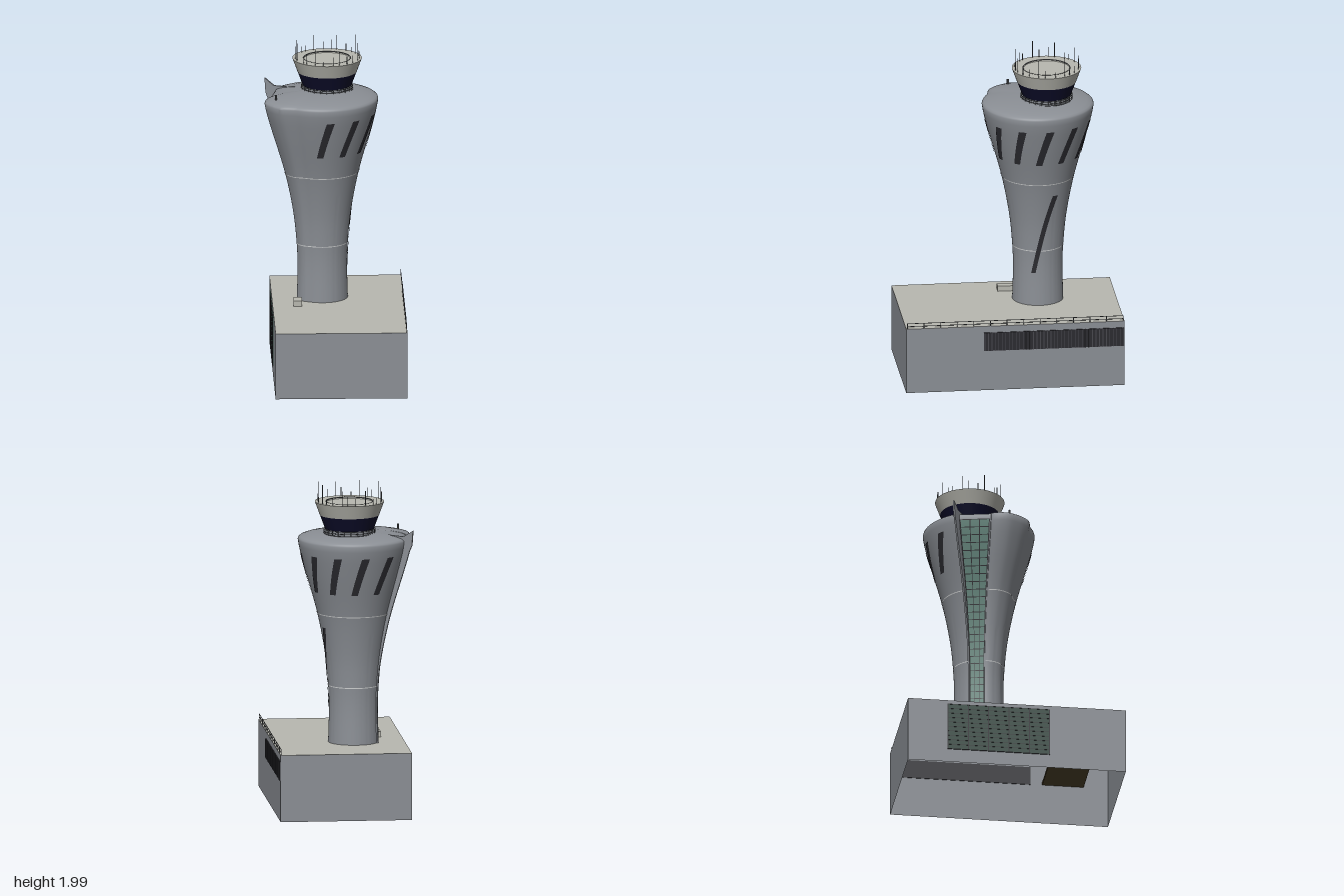
import * as THREE from 'three';
import { toCreasedNormals } from 'three/addons/utils/BufferGeometryUtils.js';

const mat = (name, color, side = THREE.FrontSide) => {
  const m = new THREE.MeshStandardMaterial({ color, side });
  m.name = name;
  return m;
};
const M = {
  concrete: mat('concrete grey', 0x8b8f95, THREE.DoubleSide),
  roof: mat('roof beige', 0xb8b8b0, THREE.DoubleSide),
  dark: mat('dark window', 0x2b2b30, THREE.DoubleSide),
  slat: mat('slat grey', 0x48484e),
  navy: mat('cab glass navy', 0x0c0c2a),
  teal: mat('strip glass teal', 0x66897f, THREE.DoubleSide),
  green: mat('hall glass green', 0x2f473e),
  white: mat('joint white', 0xd4d6d6, THREE.DoubleSide),
  metal: mat('metal', 0x55585c),
  brown: mat('floor brown', 0x50442c),
};

const add = (parent, name, geo, material, x = 0, y = 0, z = 0) => {
  const m = new THREE.Mesh(geo, material);
  m.name = name;
  m.position.set(x, y, z);
  parent.add(m);
  return m;
};
const box = (parent, name, material, w, h, d, x, y, z) =>
  add(parent, name, new THREE.BoxGeometry(w, h, d), material, x, y, z);
const group = (parent, name) => {
  const g = new THREE.Group();
  g.name = name;
  parent.add(g);
  return g;
};
const lerp = THREE.MathUtils.lerp;

// Piecewise linear lookup in a list of [key, value]
function lookup(table, k) {
  if (k <= table[0][0]) return table[0][1];
  for (let i = 1; i < table.length; i++) {
    const [a, va] = table[i - 1], [b, vb] = table[i];
    if (k <= b) return lerp(va, vb, (k - a) / (b - a));
  }
  return table[table.length - 1][1];
}

// Shaft radius by height
const BASE = 0.405, RIM = 1.635;
const profile = new THREE.SplineCurve([
  [BASE, 0.153], [0.6, 0.148], [0.75, 0.153], [0.95, 0.173], [1.19, 0.219],
  [1.45, 0.291], [1.57, 0.323], [RIM, 0.335],
].map(p => new THREE.Vector2(...p))).getPoints(60).map(p => [p.x, p.y]);

// Plan factor by angle: a lobe, a flat chord for the glass, otherwise round
const lobe = [[148, 1], [154, 1.04], [161, 1.11], [170, 1.13], [185, 1.125], [192, 1.08], [198, 1.03], [202, 0.97]];
function planFactor(a, y) {
  if (a > 202 && a < 238) {
    return 0.95 * Math.cos(Math.PI / 10) / Math.cos(THREE.MathUtils.degToRad(a - 220));
  }
  if (a < 148 || a >= 238) return 1;
  return 1 + (lookup(lobe, a) - 1) * (0.5 + 0.5 * (y - BASE) / (RIM - BASE));
}
function shaftPoint(a, y, offset = 0, scale = 1) {
  const wrapped = ((a % 360) + 360) % 360;
  const r = (lookup(profile, y) * planFactor(wrapped, y) + offset) * scale;
  const t = THREE.MathUtils.degToRad(a);
  return [r * Math.cos(t), y, r * Math.sin(t)];
}

// Grid surface; columns run with angle, rows run upward
function grid(cols, rows, point) {
  const pos = [], idx = [];
  for (let j = 0; j < rows; j++) for (let i = 0; i < cols; i++) pos.push(...point(i, j));
  for (let j = 0; j < rows - 1; j++) for (let i = 0; i < cols - 1; i++) {
    const p = j * cols + i, q = p + cols;
    idx.push(p, q, p + 1, p + 1, q, q + 1);
  }
  const g = new THREE.BufferGeometry();
  g.setAttribute('position', new THREE.Float32BufferAttribute(pos, 3));
  g.setIndex(idx);
  g.computeVertexNormals();
  return g;
}
// Thin sheet lying on the shaft; its start angle moves from a0 to a1 with height
const patch = (a0, a1, width, y0, y1, offset, cols = 6, rows = 14) =>
  grid(cols, rows, (i, j) => {
    const v = j / (rows - 1);
    return shaftPoint(lerp(a0, a1, v) + width * i / (cols - 1), lerp(y0, y1, v), offset);
  });

function buildTower(root) {
  const tower = group(root, 'tower');
  tower.position.set(0.007, 0, -0.21);

  // Shaft and its shallow domed top
  const angles = [];
  for (let a = 0; a <= 360; a += 3) {
    if (a === 237) angles.push(237, 237.8, 238);
    else if (a === 204) angles.push(202, 202.2, 204);
    else angles.push(a);
  }
  const rows = [];
  for (let i = 0; i <= 36; i++) rows.push([1, lerp(BASE, RIM, i / 36), 0]);
  rows.push([0.99, RIM, 0.01], [0.96, RIM, 0.018], [0.88, RIM, 0.027], [0.7, RIM, 0.04], [0.4, RIM, 0.05], [0.001, RIM, 0.055]);
  const shell = grid(angles.length, rows.length, (i, j) => {
    const [s, y, lift] = rows[j];
    const p = shaftPoint(angles[i], y, 0, s);
    p[1] += lift;
    return p;
  });
  add(tower, 'shaft', toCreasedNormals(shell, 0.6), M.concrete);

  // Slanted windows, long stair window and pale joints
  for (let k = 0; k < 8; k++) {
    const a = 122 - 30 * k;
    add(tower, 'slantedWindow', patch(a - 4, a - 16, 8.5, 1.33, 1.56, 0.004), M.dark);
  }
  add(tower, 'stairWindow', patch(39, -2, 10, 0.61, 1.11, 0.004, 6, 24), M.dark);
  for (const y of [0.75, 1.19]) {
    add(tower, 'joint', patch(-121, -121, 321, y - 0.0025, y + 0.0025, 0.002, 108, 2), M.white);
  }

  // Glazed strip with mullions
  const y0 = BASE + 0.005, y1 = 1.615;
  add(tower, 'glassStrip', patch(203.5, 203.5, 33, y0, y1, 0.004, 8, 40), M.teal);
  for (let k = 0; k <= 26; k++) {
    const y = lerp(y0, y1 - 0.005, k / 26);
    add(tower, 'crossMullion', patch(203.5, 203.5, 33, y, y + 0.005, 0.007, 8, 2), M.dark);
  }
  for (const a of [203.5, 214, 225, 235.5]) {
    add(tower, 'uprightMullion', patch(a, a, 1, y0, y1, 0.007, 2, 40), M.dark);
  }

  // Blade beside the glass
  const blade = new THREE.Shape();
  blade.moveTo(0.21, 1.675);
  blade.lineTo(0.33, 1.67);
  blade.lineTo(0.392, 1.71);
  blade.lineTo(0.385, 1.62);
  for (let k = 0; k <= 24; k++) {
    const t = k / 24, y = lerp(1.58, BASE, t);
    blade.lineTo(lookup(profile, y) + lerp(0.042, 0.008, Math.min(1, t * 1.6)), y);
  }
  for (let k = 0; k <= 24; k++) {
    const y = lerp(BASE, 1.62, k / 24);
    blade.lineTo(lookup(profile, y) * 0.88, y);
  }
  const bladeGeo = new THREE.ExtrudeGeometry(blade, { depth: 0.01, bevelEnabled: false });
  bladeGeo.translate(0, 0, -0.005);
  add(tower, 'blade', bladeGeo, M.concrete).rotation.y = -THREE.MathUtils.degToRad(238);
  box(tower, 'lobeMast', M.metal, 0.006, 0.06, 0.012, -0.318, 1.665, 0);
}

function buildCab(root) {
  const cab = group(root, 'controlCab');
  cab.position.set(0.057, 0, -0.24);
  const lathe = (name, pts, material) =>
    add(cab, name, toCreasedNormals(new THREE.LatheGeometry(pts.map(p => new THREE.Vector2(...p)), 64), 0.5), material);
  lathe('neck', [[0.14, 1.64], [0.14, 1.71]], M.concrete);
  lathe('cabGlass', [[0.13, 1.708], [0.147, 1.708], [0.178, 1.792]], M.navy);
  lathe('cabCrown', [[0.178, 1.79], [0.208, 1.872], [0.143, 1.872], [0.14, 1.864], [0.001, 1.864]], M.roof);
  const ring = (name, r, t, y, material) =>
    add(cab, name, new THREE.TorusGeometry(r, t, 5, 64), material, 0, y, 0).rotation.x = Math.PI / 2;
  ring('roofGroove', 0.141, 0.003, 1.871, M.metal);
  for (const y of [1.68, 1.693, 1.706]) ring('walkwayRail', 0.153, 0.002, y, M.metal);
  for (let k = 0; k < 24; k++) {
    const t = k * Math.PI / 12;
    box(cab, 'walkwayPost', M.metal, 0.003, 0.04, 0.003, 0.153 * Math.cos(t), 1.688, 0.153 * Math.sin(t));
  }
  // Roof aerials of mixed height
  let seed = 7;
  const rand = () => (seed = (seed * 16807) % 2147483647) / 2147483647;
  for (let k = 0; k < 24; k++) {
    const t = (k + 0.6 * rand()) * Math.PI / 12, h = k % 3 ? 0.025 + 0.04 * rand() : 0.08 + 0.04 * rand();
    box(cab, 'aerial', M.metal, 0.003, h, 0.003, 0.193 * Math.cos(t), 1.87 + h / 2, 0.193 * Math.sin(t));
  }
}

function buildBase(root) {
  const base = group(root, 'baseBuilding');
  base.rotation.y = -0.484;
  const W = 0.79, L = 1.315, H = 0.405, hw = W / 2, hl = L / 2;

  // Walls open at the bottom, with a flat roof
  for (const s of [-1, 1]) {
    add(base, 'endWall', new THREE.PlaneGeometry(W, H), M.concrete, 0, H / 2, s * hl).rotation.y = s > 0 ? 0 : Math.PI;
    add(base, 'sideWall', new THREE.PlaneGeometry(L, H), M.concrete, s * hw, H / 2, 0).rotation.y = s * Math.PI / 2;
  }
  add(base, 'flatRoof', new THREE.PlaneGeometry(W, L), M.roof, 0, H, 0).rotation.x = -Math.PI / 2;
  box(base, 'innerFloor', M.brown, 0.5, 0.02, 0.25, 0.14, 0.26, 0.385);
  box(base, 'roofUnit', M.roof, 0.05, 0.032, 0.095, -0.244, H + 0.016, -0.01);

  // Slatted window band
  box(base, 'windowBand', M.dark, 0.008, 0.115, 0.845, hw, 0.307, -0.234);
  for (let k = 0; k <= 40; k++) {
    box(base, 'windowSlat', M.slat, 0.006, 0.115, 0.004, hw + 0.004, 0.307, lerp(-0.652, 0.184, k / 40));
  }

  // Glazed hall front
  box(base, 'hallGlass', M.green, 0.008, 0.297, 0.62, -hw, 0.232, -0.11);
  for (let k = 0; k <= 5; k++) box(base, 'hallMullion', M.dark, 0.004, 0.297, 0.006, -hw - 0.004, 0.232, lerp(-0.417, 0.197, k / 5));
  for (let k = 0; k <= 10; k++) box(base, 'hallTransom', M.dark, 0.004, 0.003, 0.62, -hw - 0.004, lerp(0.085, 0.379, k / 10), -0.11);

  // Roof-edge railing
  for (const y of [0.42, 0.438]) box(base, 'railing', M.metal, 0.003, 0.003, L - 0.01, hw - 0.004, y, 0);
  for (let k = 0; k <= 13; k++) box(base, 'railingPost', M.metal, 0.004, 0.036, 0.004, hw - 0.004, H + 0.017, lerp(-hl + 0.008, hl - 0.008, k / 13));
}

export function createModel() {
  const root = new THREE.Group();
  root.name = 'controlTower';
  buildBase(root);
  buildTower(root);
  buildCab(root);
  return root;
}
